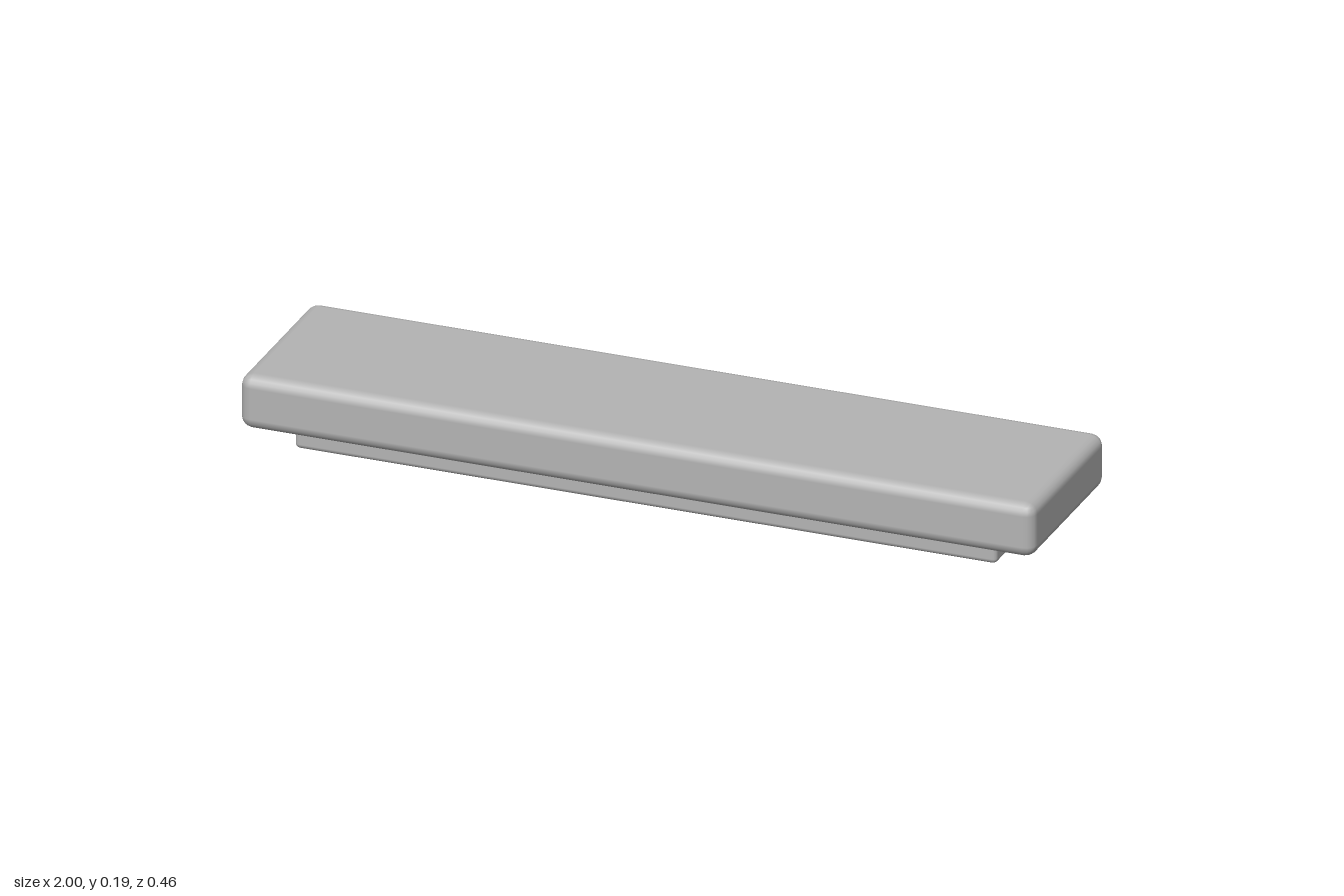
import * as THREE from 'three';
import { RoundedBoxGeometry } from 'three/addons/geometries/RoundedBoxGeometry.js';

const grey = new THREE.MeshStandardMaterial({ name: 'plain grey', color: 0xb4b4b4 });

// Rounded block given by its size, bottom height and centre
function block(name, w, h, d, radius, x, bottom, z) {
  const mesh = new THREE.Mesh(new RoundedBoxGeometry(w, h, d, 2, radius), grey);
  mesh.name = name;
  mesh.position.set(x, bottom + h / 2, z);
  return mesh;
}

export function createModel() {
  const model = new THREE.Group();
  model.name = 'slab';

  // Thick upper body and the narrower plinth sunk into its underside
  model.add(block('body', 2, 0.137, 0.46, 0.029, 0, 0.056, 0));
  model.add(block('plinth', 1.766, 0.08, 0.338, 0.012, 0, 0.002 - 0.002, 0));

  // Two small locking tabs at each end of the plinth
  for (const sx of [-1, 1]) {
    for (const sz of [-1, 1]) {
      const side = sx > 0 ? 'left' : 'right';
      const end = sz > 0 ? 'Front' : 'Back';
      model.add(block(side + end + 'Tab', 0.05, 0.04, 0.075, 0.01, sx * 0.881, 0.033, sz * 0.0855));
    }
  }
  return model;
}
